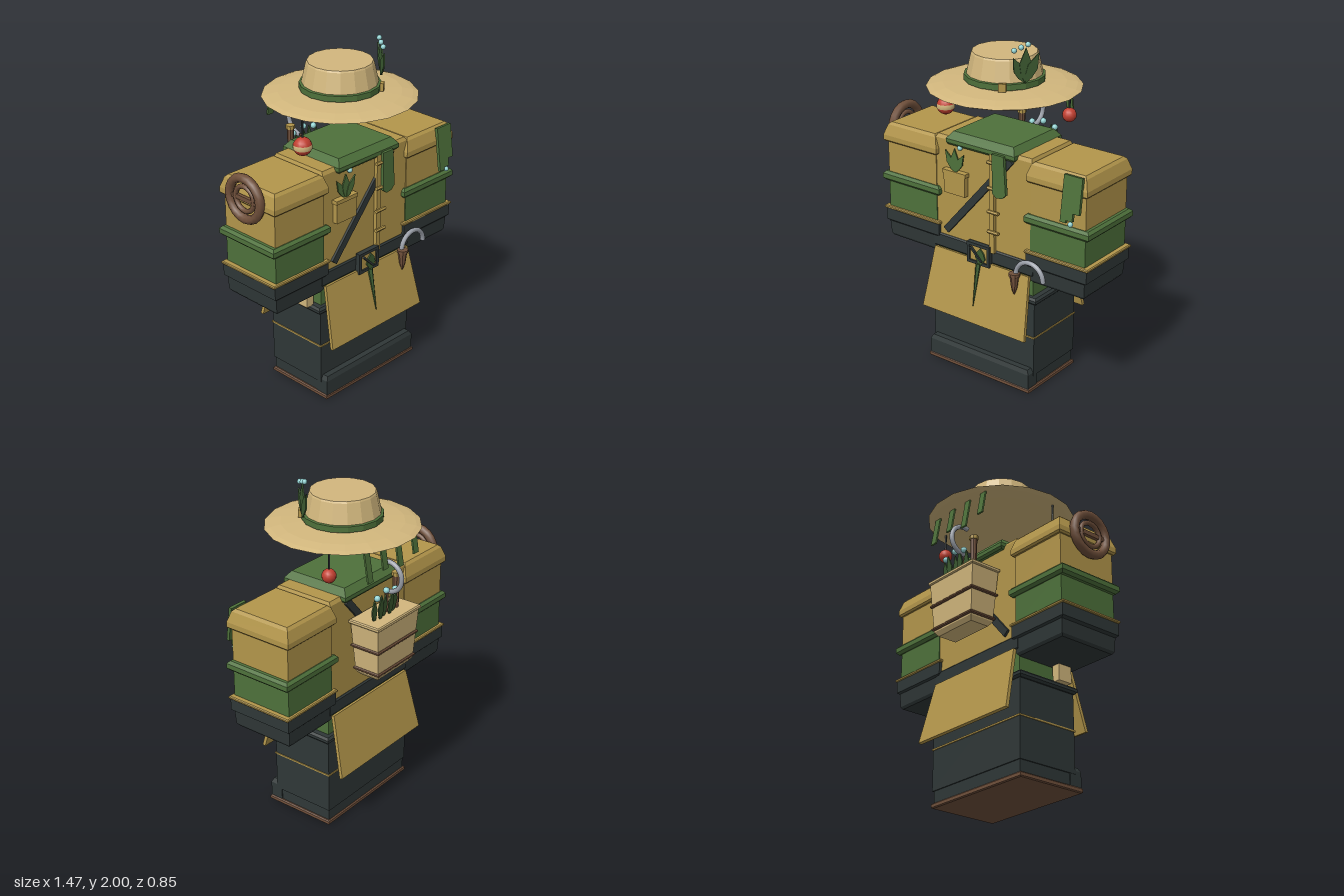
import * as THREE from 'three';

const mat = (name, color) => {
  const m = new THREE.MeshStandardMaterial({ color });
  m.name = name;
  return m;
};
const M = {
  gold: mat('ochre cloth', 0xb3964b), green: mat('moss green', 0x4e713b), leaf: mat('leaf green', 0x3d5c32),
  dark: mat('charcoal', 0x2f3737), straw: mat('straw', 0xd2b77d), brown: mat('brown wood', 0x70503b),
  red: mat('float red', 0xc23f30), bead: mat('pale aqua', 0x92d2d2), steel: mat('steel', 0x9a9fa8),
};

const flat = (g) => {
  const f = g.index ? g.toNonIndexed() : g;
  f.computeVertexNormals();
  return f;
};

// Rectangular loft through sections [y, width, depth]
function loft(sections) {
  const p = [];
  const rings = sections.map(([y, w, d]) =>
    [[-1, 1], [1, 1], [1, -1], [-1, -1]].map(([sx, sz]) => [sx * w / 2, y, sz * d / 2]));
  const quad = (a, b, c, d) => p.push(...a, ...b, ...c, ...a, ...c, ...d);
  for (let i = 0; i + 1 < rings.length; i++)
    for (let k = 0; k < 4; k++) {
      const n = (k + 1) % 4;
      quad(rings[i][k], rings[i][n], rings[i + 1][n], rings[i + 1][k]);
    }
  quad(...rings[rings.length - 1]);
  quad(...[...rings[0]].reverse());
  const g = new THREE.BufferGeometry();
  g.setAttribute('position', new THREE.Float32BufferAttribute(p, 3));
  g.computeVertexNormals();
  return g;
}

// Band with bevelled upper and lower edges
const band = (y0, y1, w, d, b = 0.012) => loft([
  [y0, w - 2 * b, d - 2 * b], [y0 + b, w, d], [y1 - b, w, d], [y1, w - 2 * b, d - 2 * b]]);

// Thin plate cut from a list of xy points
function plate(points, depth) {
  const s = new THREE.Shape(points.map(([x, y]) => new THREE.Vector2(x, y)));
  return new THREE.ExtrudeGeometry(s, { depth, bevelEnabled: false });
}
const leafShape = (len, w) => plate(
  [[0, 0], [w * 0.35, len * 0.25], [w * 0.5, len * 0.55], [0, len], [-w * 0.5, len * 0.55], [-w * 0.35, len * 0.25]], 0.008);

export function createModel() {
  const root = new THREE.Group();
  root.name = 'figure';

  const add = (parent, name, geo, material, pos = [0, 0, 0], rot = [0, 0, 0]) => {
    const m = new THREE.Mesh(geo, material);
    m.name = name;
    m.position.set(...pos);
    m.rotation.set(...rot);
    parent.add(m);
    return m;
  };
  const group = (name, pos = [0, 0, 0], parent = root) => {
    const g = new THREE.Group();
    g.name = name;
    g.position.set(...pos);
    parent.add(g);
    return g;
  };
  const box = (w, h, d) => new THREE.BoxGeometry(w, h, d);
  const cyl = (r1, r2, h, n = 8) => flat(new THREE.CylinderGeometry(r1, r2, h, n));
  const bead = (parent, x, y, z, r = 0.015) => add(parent, 'bead', new THREE.SphereGeometry(r, 10, 8), M.bead, [x, y, z]);
  // Fan of leaves rising from the group's origin: [length, width, lean]
  const fan = (parent, list, material) => list.forEach(([len, w, lean], i) =>
    add(parent, 'leaf', leafShape(len, w), material, [0, 0, i * 0.003], [0, 0, -lean]));

  const body = group('body', [0.01, 0, 0.009]);

  // Boots and trousers
  add(body, 'sole', band(0.003, 0.032, 0.735, 0.44, 0.006), M.brown, [0, 0, 0.024]);
  add(body, 'bootFoot', box(0.71, 0.08, 0.375), M.dark, [0, 0.07, 0]);
  add(body, 'bootToe', loft([[0.03, 0.72, 0.08], [0.12, 0.72, 0.08], [0.145, 0.69, 0.06]]), M.dark, [0, 0, 0.2]);
  add(body, 'bootShaft', loft([[0.1, 0.725, 0.39], [0.55, 0.725, 0.385]]), M.dark);
  add(body, 'bootRim', band(0.55, 0.59, 0.765, 0.415), M.dark);
  add(body, 'bootSeam', box(0.735, 0.009, 0.4), M.gold, [0, 0.34, 0]);
  add(body, 'trousers', box(0.68, 0.2, 0.35), M.green, [0, 0.66, 0]);

  // Torso, belt and hanging coat panels
  add(body, 'torso', loft([[0.72, 0.67, 0.375], [1.38, 0.67, 0.375], [1.4, 0.65, 0.35]]), M.gold);
  add(body, 'belt', band(0.715, 0.8, 0.7, 0.395, 0.008), M.dark);
  for (const side of [0, 1]) {
    const g = group(side ? 'coatBack' : 'coatFront', [0, 0.715, 0], body);
    g.rotation.y = side * Math.PI;
    add(g, 'coatPanel', plate([[-0.335, 0], [-0.367, -0.37], [0.367, -0.37], [0.335, 0]], 0.02), M.gold, [0, 0, 0.192], [-0.225, 0, 0]);
  }

  // Sleeves, mirrored
  for (const s of [-1, 1]) {
    const arm = group(s < 0 ? 'rightSleeve' : 'leftSleeve', [s * 0.51, 0, 0], body);
    add(arm, 'cuff', loft([[0.68, 0.335, 0.36], [0.695, 0.355, 0.38], [0.775, 0.365, 0.39], [0.785, 0.4, 0.41], [0.855, 0.4, 0.41]]), M.dark);
    add(arm, 'cuffTrim', band(0.855, 0.873, 0.42, 0.42, 0.005), M.gold);
    add(arm, 'lowerSleeve', box(0.36, 0.18, 0.385), M.green, [0, 0.955, 0]);
    add(arm, 'sleeveBand', band(1.03, 1.088, 0.425, 0.425, 0.015), M.green);
    add(arm, 'upperSleeve', box(0.36, 0.22, 0.385), M.gold, [0, 1.18, 0]);
    add(arm, 'shoulderCap', loft([[1.275, 0.375, 0.405], [1.285, 0.395, 0.425], [1.315, 0.395, 0.425], [1.375, 0.355, 0.385], [1.39, 0.325, 0.355]]), M.gold);
  }

  // Collar and hanging scarf end
  add(body, 'collar', loft([[1.365, 0.455, 0.41], [1.378, 0.475, 0.43], [1.4, 0.475, 0.43], [1.44, 0.415, 0.365]]), M.green);
  add(root, 'scarfEnd', plate([[0.105, 1.39], [0.11, 1.16], [0.135, 1.14], [0.175, 1.145], [0.2, 1.17], [0.185, 1.39]], 0.02), M.green, [0, 0, 0.22]);

  // Diagonal strap, front and back
  for (const z of [0.203, -0.185])
    add(root, 'strap', box(0.042, 0.7, 0.016), M.dark, [-0.02, 1.1, z], [0, 0, -0.715]);

  // Front placket with toggles
  add(root, 'placket', box(0.032, 0.6, 0.022), M.gold, [0.09, 1.09, 0.212]);
  for (const y of [1.33, 1.18, 1.04, 0.92])
    add(root, 'toggle', cyl(0.011, 0.011, 0.075, 6), M.gold, [0.103, y, 0.225], [0, 0, Math.PI / 2]);

  // Chest pocket with a sprig
  add(root, 'pocket', box(0.15, 0.115, 0.03), M.gold, [-0.17, 1.135, 0.212]);
  add(root, 'pocketFlap', box(0.165, 0.022, 0.04), M.gold, [-0.17, 1.205, 0.212]);
  const sprig = group('pocketSprig', [-0.17, 1.205, 0.212]);
  fan(sprig, [[0.14, 0.045, -0.5], [0.145, 0.055, 0], [0.14, 0.045, 0.5]], M.green);
  bead(root, -0.135, 1.36, 0.215);

  // Belt buckle with hanging leaf blade
  const buckle = group('buckle', [0.003, 0.762, 0.222]);
  for (const s of [-1, 1]) {
    add(buckle, 'buckleSide', box(0.018, 0.125, 0.03), M.dark, [s * 0.07, 0, 0]);
    add(buckle, 'buckleBar', box(0.158, 0.018, 0.03), M.dark, [0, s * 0.054, 0]);
  }
  add(buckle, 'bucklePlate', box(0.13, 0.1, 0.01), M.gold);
  add(buckle, 'buckleLeaf', leafShape(0.11, 0.07), M.leaf, [0.015, 0.04, 0.008], [0, 0, Math.PI]);
  add(buckle, 'bucklePin', box(0.012, 0.11, 0.012), M.dark, [-0.01, 0, 0.018], [0, 0, 0.8]);
  add(root, 'leafBlade', cyl(0.016, 0.002, 0.25, 5), M.leaf, [0.008, 0.585, 0.265], [-0.2, 0, 0]);

  // Hook tool at the belt
  const sickle = (parent, r, arc) => new THREE.TorusGeometry(r, 0.014, 8, 16, arc);
  const hook = group('beltHook', [0.27, 0.72, 0.24]);
  add(hook, 'hookHandle', cyl(0.028, 0.018, 0.08), M.brown, [0, -0.035, 0.01]);
  add(hook, 'hookTip', cyl(0.018, 0.004, 0.04), M.brown, [0, -0.095, 0.01]);
  add(hook, 'hookCollar', cyl(0.033, 0.033, 0.018), M.brown, [0, 0.005, 0.01]);
  add(hook, 'hookBlade', sickle(hook, 0.092, Math.PI), M.steel, [0.095, 0.005, 0]);

  // Small hip pouch
  add(root, 'hipPouch', box(0.05, 0.1, 0.09), M.straw, [-0.375, 0.635, 0.1]);

  // Ragged patch on the left sleeve
  add(root, 'sleevePatch', plate([[0.573, 0], [0.573, -0.26], [0.61, -0.26], [0.61, -0.245], [0.65, -0.245], [0.65, -0.2],
    [0.69, -0.2], [0.69, 0]], 0.018), M.green, [0, 1.385, 0.208], [-0.13, 0, 0]);
  bead(root, 0.635, 1.125, 0.25);

  // Wheel on the right shoulder
  const wheel = group('shoulderWheel', [-0.71, 1.32, 0.01]);
  const ring = (name, r, t) => add(wheel, name, new THREE.TorusGeometry(r, t, 8, 20), M.brown, [0, 0, 0], [0, Math.PI / 2, 0]);
  ring('wheelRim', 0.117, 0.026);
  ring('wheelInnerRing', 0.07, 0.014);
  add(wheel, 'wheelBar', box(0.02, 0.025, 0.2), M.brown);

  // Back basket with sprouts and tools
  const basket = group('basket', [0, 0, -0.285]);
  add(basket, 'basketBody', loft([[0.905, 0.28, 0.12], [0.93, 0.32, 0.155], [1.235, 0.375, 0.185]]), M.straw);
  add(basket, 'basketRim', band(1.225, 1.25, 0.39, 0.2, 0.006), M.straw);
  add(basket, 'basketBand', band(0.938, 0.958, 0.34, 0.175, 0.006), M.brown);
  add(basket, 'basketBand', band(1.08, 1.1, 0.365, 0.19, 0.006), M.brown);
  [-0.04, 0, 0.04, 0.08, 0.12].forEach((x, i) => {
    add(basket, 'sprout', leafShape(0.15 + 0.015 * (i % 2), 0.045), M.leaf, [x, 1.23, -0.02 - 0.01 * (i % 2)], [-0.1, 0, (2 - i) * 0.06]);
    if (i % 2 === 0) bead(basket, x, 1.385 + 0.01 * (i % 4), -0.035, 0.018);
  });
  add(basket, 'toolHandle', cyl(0.02, 0.016, 0.19), M.brown, [-0.09, 1.345, -0.005]);
  add(basket, 'toolCap', cyl(0.026, 0.026, 0.022), M.gold, [-0.09, 1.45, -0.005]);
  add(basket, 'sickleBlade', sickle(basket, 0.087, Math.PI * 1.12), M.steel, [-0.01, 1.462, -0.012], [0, Math.PI / 2, 0]).rotation.set(0, Math.PI / 2, -Math.PI * 0.52);
  add(basket, 'sickleStem', cyl(0.012, 0.012, 0.16), M.brown, [-0.01, 1.3, 0]);

  // Hat
  const hat = group('hat', [0.01, 0, 0]);
  const lathe = (pts, n) => flat(new THREE.LatheGeometry(pts.map(([r, y]) => new THREE.Vector2(r, y)), n));
  const turn = [0, Math.PI / 18, 0];
  add(hat, 'brim', lathe([[0, 1.7], [0.3, 1.698], [0.38, 1.687], [0.4, 1.688], [0.43, 1.7], [0.4, 1.71], [0.34, 1.722], [0.2, 1.733], [0, 1.733]], 18), M.straw, [0, 0, 0], turn);
  add(hat, 'crown', lathe([[0.213, 1.73], [0.21, 1.775], [0.185, 1.885], [0.18, 1.895], [0, 1.895]], 16), M.straw);
  add(hat, 'hatBand', lathe([[0.2, 1.734], [0.224, 1.737], [0.224, 1.77], [0.2, 1.775]], 16), M.green);
  add(hat, 'bandClasp', box(0.042, 0.045, 0.02), M.gold, [0.13, 1.757, 0.19], [0, 0.6, 0]);
  const hatSprig = group('hatSprig', [0.218, 1.775, 0.1]);
  hatSprig.rotation.y = 1.03;
  fan(hatSprig, [[0.16, 0.06, -0.42], [0.195, 0.07, 0.03], [0.18, 0.06, 0.45]], M.leaf);
  [[0.187, 1.958, 0.15], [0.207, 1.971, 0.115], [0.228, 1.984, 0.083]].forEach((p) => bead(root, ...p));

  // Cloth strips behind the brim
  [-0.2, -0.06, 0.075, 0.21].forEach((x, i) => {
    const h = i % 2 ? 0.18 : 0.15;
    add(root, 'hatStrip', box(0.043, h, 0.01), M.green, [x, 1.695 - h / 2, -0.325], [0.17, 0, 0]);
  });

  // Fishing floats hung from the brim
  for (const [x, y, z, r, striped] of [[-0.35, 1.525, 0.075, 0.052, true], [0.33, 1.55, -0.16, 0.04, false]]) {
    const f = group('float', [x, y, z]);
    add(f, 'floatBall', new THREE.SphereGeometry(r, 14, 10), M.red);
    if (striped)
      add(f, 'floatStripe', new THREE.SphereGeometry(r + 0.002, 14, 3, 0, Math.PI * 2, Math.PI * 0.42, Math.PI * 0.16), M.straw);
    add(f, 'floatString', cyl(0.006, 0.006, 1.7 - y - r + 0.01, 6), M.dark, [0, (1.7 - y + r) / 2, 0]);
  }
  return root;
}
